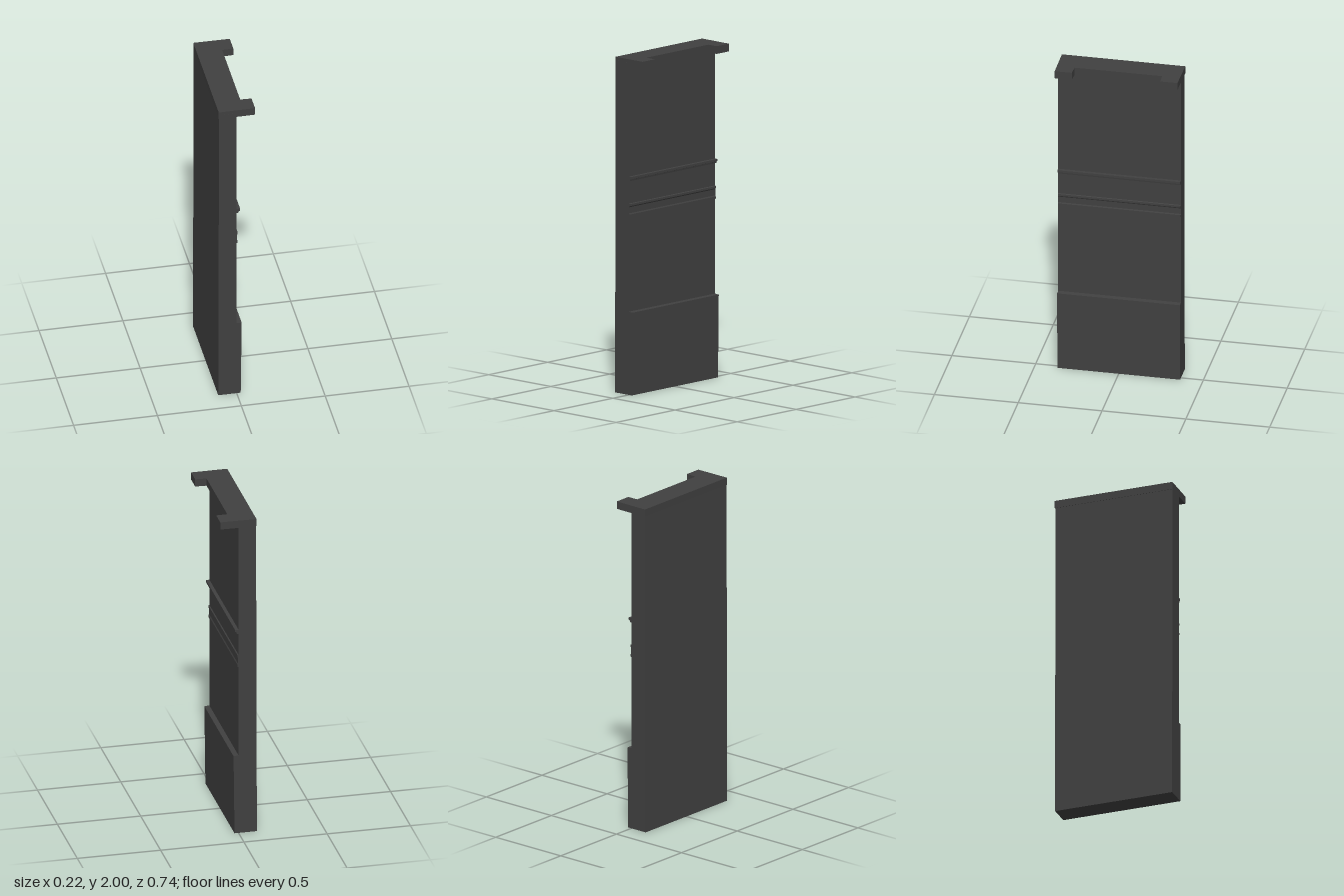
import * as THREE from 'three';

const HALF = 0.366; // half the panel width along z

export function createModel() {
  const group = new THREE.Group();
  const material = new THREE.MeshStandardMaterial({ color: 0x404040, flatShading: true });

  const extrude = (points, depth) => new THREE.ExtrudeGeometry(
    new THREE.Shape(points.map(([a, b]) => new THREE.Vector2(a, b))),
    { depth, bevelEnabled: false });

  const add = (name, geometry) => {
    const mesh = new THREE.Mesh(geometry, material);
    mesh.name = name;
    group.add(mesh);
  };

  // An x-y profile swept across the full width
  const addProfile = (name, points) =>
    add(name, extrude(points, HALF * 2).translate(0, 0, -HALF));

  // Upright slab with its thicker, slightly tapered foot
  addProfile('panel', [
    [-0.11, 0], [0.024, 0], [0.03, 0.494], [0, 0.496],
    [0, 1.98], [-0.105, 1.98],
  ]);

  // Moulding with an undercut lower edge
  addProfile('upperRail', [
    [-0.01, 1.275], [0.01, 1.275], [0.012, 1.285], [0.021, 1.288],
    [0.021, 1.301], [-0.01, 1.301],
  ]);

  // Shallow band with raised edges
  addProfile('lowerBand', [
    [-0.01, 1.06], [0.006, 1.062], [0.006, 1.075], [0.002, 1.082],
    [0.002, 1.118], [0.006, 1.125], [0.006, 1.137], [-0.01, 1.145],
  ]);

  // Cap ledge with a projecting arm at each end, drawn in plan as (x, -z)
  const cap = extrude([
    [-0.107, -HALF], [0.11, -0.364], [0.11, -0.262], [0.043, -0.259],
    [0.043, 0.263], [0.11, 0.265], [0.11, 0.368], [-0.107, 0.37],
  ], 0.046);
  cap.rotateX(-Math.PI / 2).translate(0, 1.954, 0);
  add('capLedge', cap);

  return group;
}
